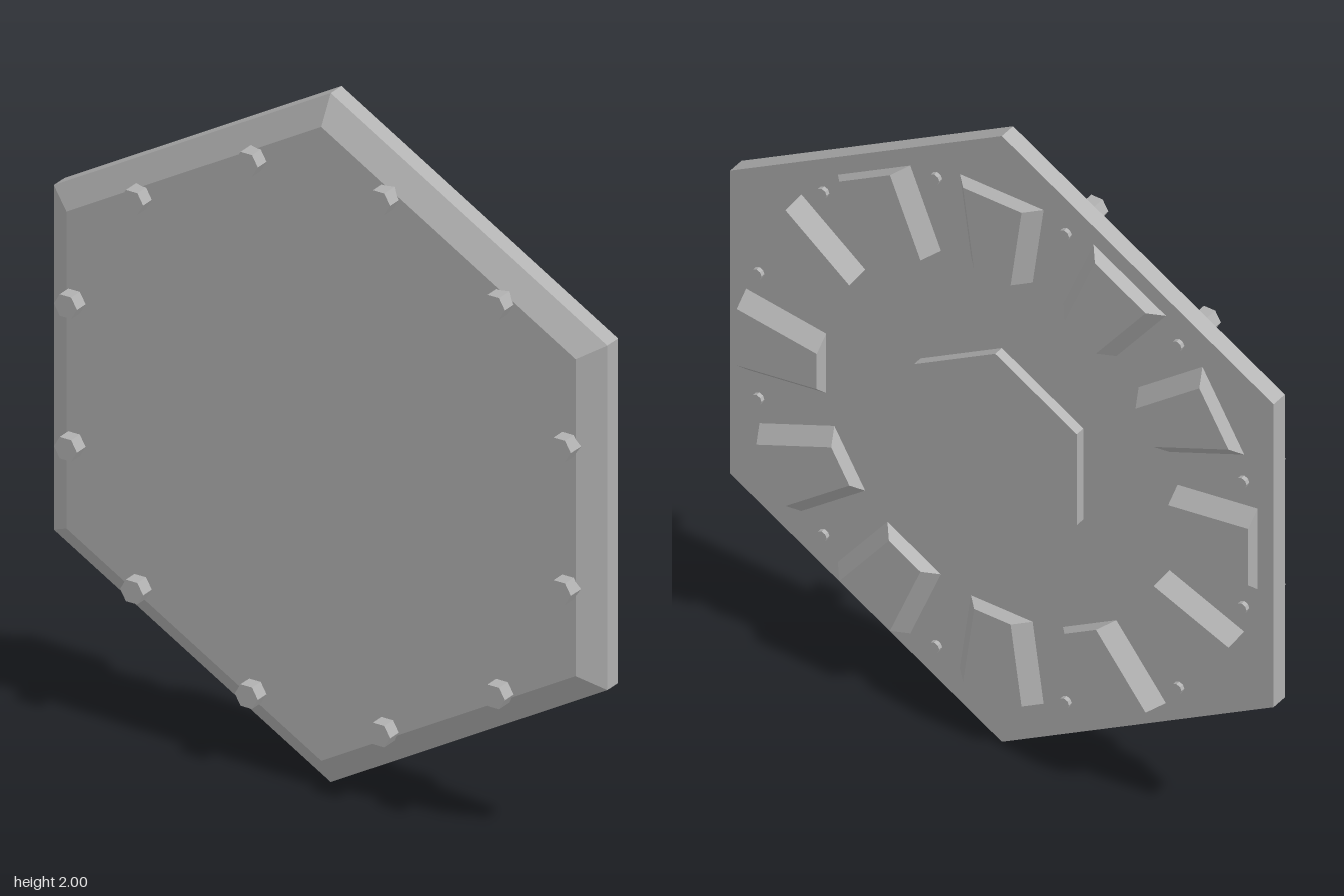
import * as THREE from 'three';

const steel = new THREE.MeshStandardMaterial({ color: 0xb0b0b0, flatShading: true });
steel.name = 'grey steel';

// Six-sided or round solid around z, from [radius, z] pairs going back to front
function turned(profile, sides, turn = 0) {
  const points = profile.map(([r, z]) => new THREE.Vector2(r, z));
  return new THREE.LatheGeometry(points, sides).rotateY(turn).rotateX(Math.PI / 2);
}

// Wedge block pointing along +x: wide at the outer end, sides sloping in towards the back
function lugGeometry() {
  const geometry = new THREE.BoxGeometry(1, 1, 1);
  const p = geometry.attributes.position;
  for (let i = 0; i < p.count; i++) {
    const outer = p.getX(i) > 0;
    const raised = p.getZ(i) < 0;
    const halfWidth = (outer ? 0.135 : 0.1) - (raised ? 0.042 : 0);
    p.setXYZ(i, outer ? 0.815 : 0.56, Math.sign(p.getY(i)) * halfWidth, raised ? -0.09 : -0.045);
  }
  geometry.computeVertexNormals();
  return geometry;
}

export function createModel() {
  const model = new THREE.Group();
  model.name = 'hexagonalHatch';

  const add = (name, geometry, x = 0, y = 0) => {
    const mesh = new THREE.Mesh(geometry, steel);
    mesh.name = name;
    mesh.position.set(x, 1 + y, 0);
    model.add(mesh);
    return mesh;
  };

  // Main plate with bevelled front rim, and raised pad on the back
  add('plate', turned([[0, -0.047], [1, -0.047], [1, 0.004], [0.92, 0.049], [0, 0.049]], 6));
  add('backPad', turned([[0, -0.077], [0.3, -0.077], [0.3, -0.046]], 6));

  const lug = lugGeometry();
  const boltHead = turned([[0, 0.04], [0.036, 0.04], [0.036, 0.09], [0, 0.09]], 6, Math.PI / 6);
  const boltTip = turned([[0, -0.06], [0.016, -0.06], [0.016, -0.046]], 8);

  // Ring of lugs on the back, with bolts through the plate between them
  for (let i = 0; i < 12; i++) {
    const angle = (i * Math.PI) / 6;
    add('backLug', lug).rotation.z = angle;
    const x = 0.8 * Math.cos(angle + Math.PI / 12);
    const y = 0.8 * Math.sin(angle + Math.PI / 12);
    add('boltHead', boltHead, x, y);
    add('boltTip', boltTip, x, y);
  }
  return model;
}
